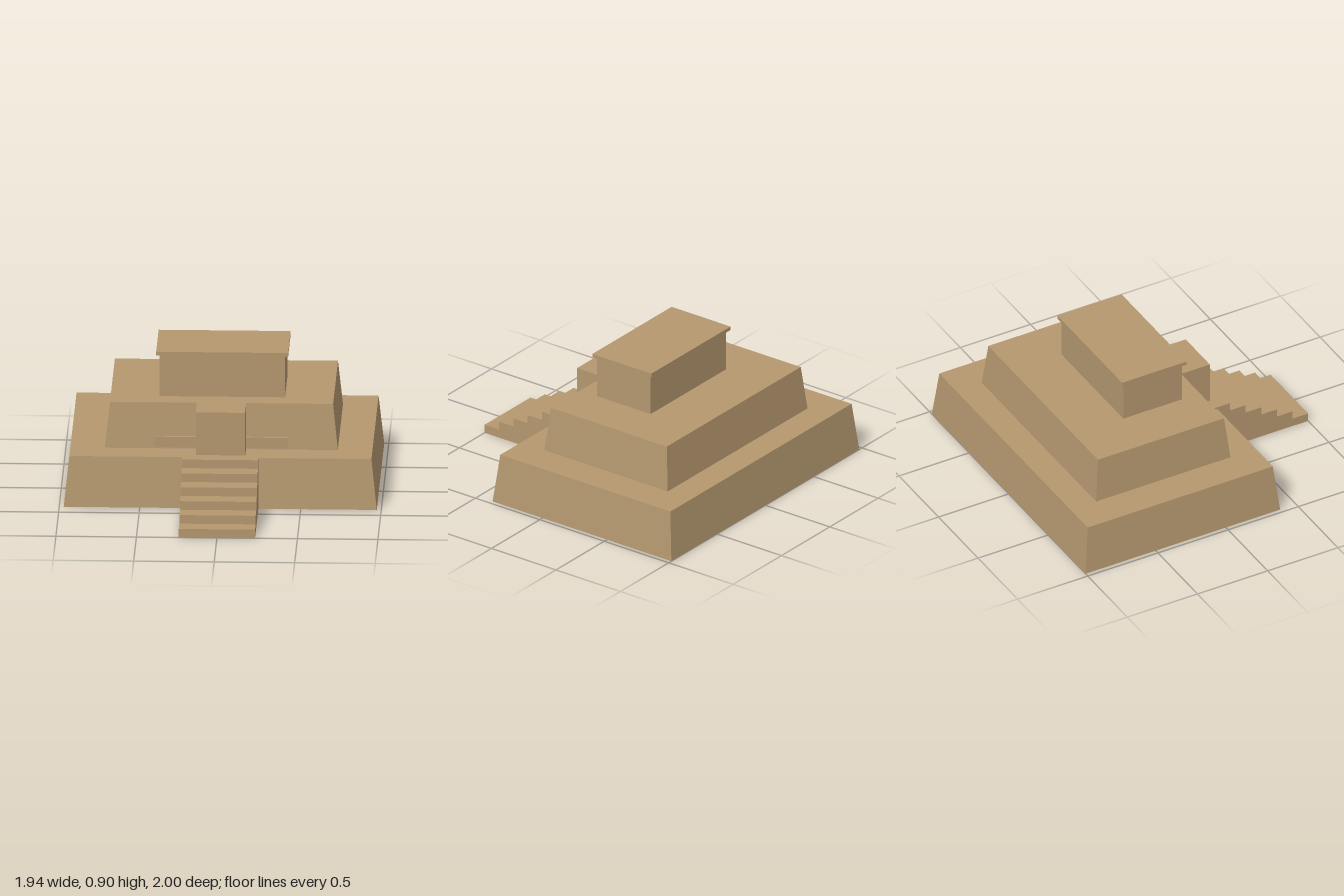
import * as THREE from 'three';

const sandstone = new THREE.MeshStandardMaterial({ color: 0xb4976f, side: THREE.DoubleSide });
sandstone.name = 'sandstone';

// Drops every triangle lying flat on the given height, leaving the underside open.
function openBelow(geometry, y) {
  const flat = geometry.index ? geometry.toNonIndexed() : geometry;
  const p = flat.attributes.position;
  const kept = [];
  for (let i = 0; i < p.count; i += 3) {
    const onFloor = [0, 1, 2].every((k) => Math.abs(p.getY(i + k) - y) < 1e-4);
    if (onFloor) continue;
    for (let k = 0; k < 3; k++) kept.push(p.getX(i + k), p.getY(i + k), p.getZ(i + k));
  }
  const result = new THREE.BufferGeometry();
  result.setAttribute('position', new THREE.Float32BufferAttribute(kept, 3));
  result.computeVertexNormals();
  return result;
}

// Box between limits.
function block(halfWidth, y0, y1, z0, z1) {
  const g = new THREE.BoxGeometry(halfWidth * 2, y1 - y0, z1 - z0);
  return g.translate(0, (y0 + y1) / 2, (z0 + z1) / 2);
}

// Box whose upper corners lean inward by the inset.
function terrace(halfWidth, y0, y1, z0, z1, inset) {
  const g = block(halfWidth, y0, y1, z0, z1);
  const p = g.attributes.position;
  const midZ = (z0 + z1) / 2;
  for (let i = 0; i < p.count; i++) {
    if (p.getY(i) < (y0 + y1) / 2) continue;
    p.setX(i, p.getX(i) - Math.sign(p.getX(i)) * inset);
    p.setZ(i, p.getZ(i) - Math.sign(p.getZ(i) - midZ) * inset);
  }
  return openBelow(g, y0);
}

// Stepped side profile extruded across the width.
function stairs(halfWidth, steps, zBack, zFront, height) {
  const run = (zFront - zBack) / steps;
  const rise = height / steps;
  const shape = new THREE.Shape().moveTo(zBack, 0).lineTo(zFront, 0);
  for (let i = 0; i < steps; i++) {
    shape.lineTo(zFront - i * run, (i + 1) * rise);
    shape.lineTo(zFront - (i + 1) * run, (i + 1) * rise);
  }
  const g = new THREE.ExtrudeGeometry(shape, { depth: halfWidth * 2, bevelEnabled: false });
  g.rotateY(-Math.PI / 2).translate(halfWidth, 0, 0);
  return openBelow(g, 0);
}

export function createModel() {
  const model = new THREE.Group();
  model.name = 'steppedTemple';
  const add = (name, geometry) => {
    const mesh = new THREE.Mesh(geometry, sandstone);
    mesh.name = name;
    model.add(mesh);
  };

  // Sloping platforms
  add('lowerTerrace', terrace(0.972, 0, 0.32, -1, 0.387, 0.034));
  add('upperTerrace', terrace(0.723, 0.32, 0.61, -0.785, 0.173, 0.03));

  // Entrance block and low panel in front of the upper terrace
  add('entranceBlock', block(0.153, 0.32, 0.61, 0.143, 0.347));
  add('frontPanel', block(0.413, 0.335, 0.403, 0.18, 0.198));

  // Staircase
  add('staircase', stairs(0.237, 6, 0.333, 1, 0.333));

  // Shrine and its roof slab
  add('shrine', block(0.39, 0.61, 0.88, -0.403, 0.015));
  add('roofSlab', block(0.41, 0.88, 0.904, -0.423, 0.035));

  return model;
}
